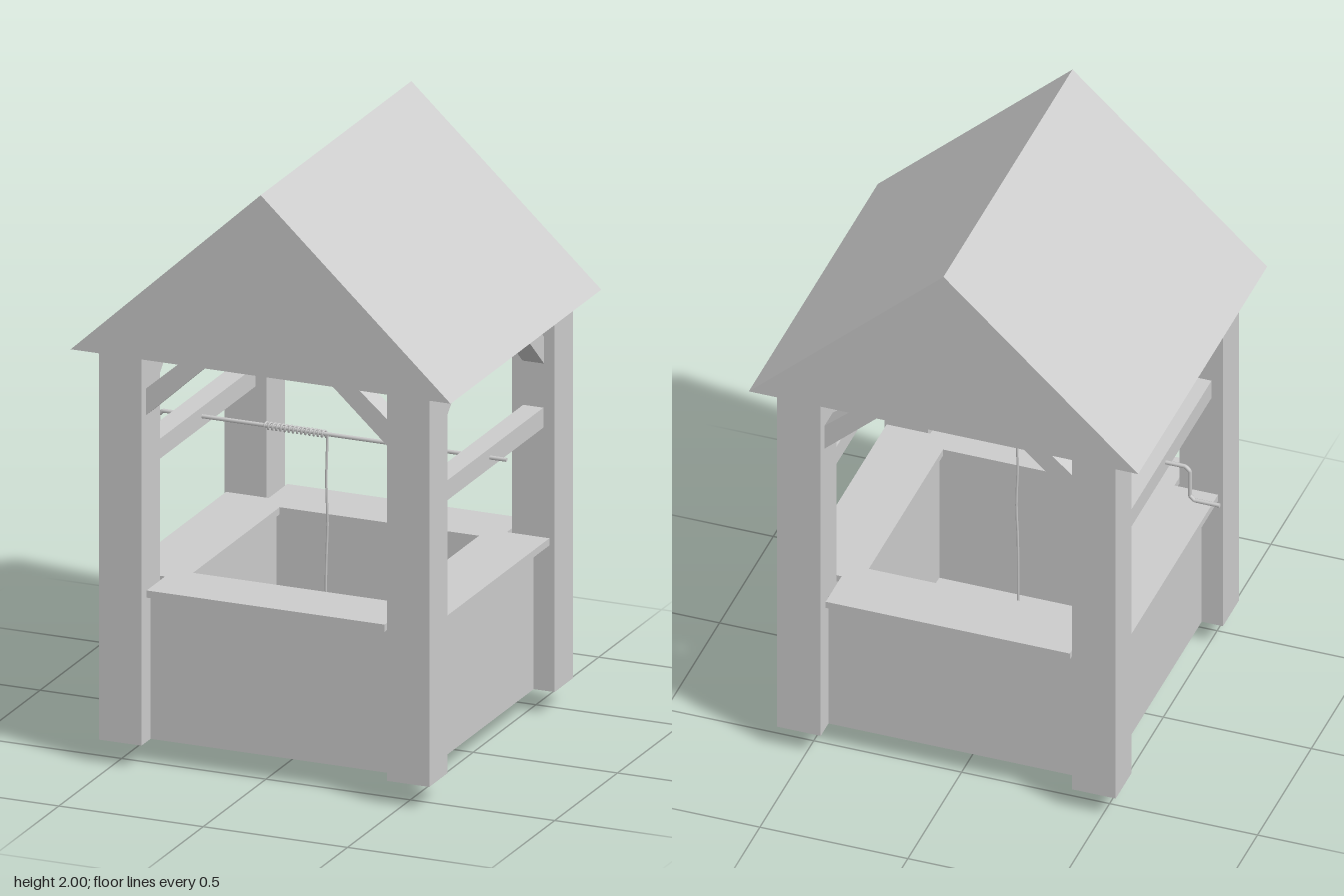
import * as THREE from 'three';

export function createModel() {
  const grey = new THREE.MeshStandardMaterial({ color: 0xcccccc });
  grey.name = 'plain grey';
  grey.side = THREE.DoubleSide;
  const model = new THREE.Group();
  model.name = 'well';

  const add = (parent, name, geometry, x = 0, y = 0, z = 0) => {
    const mesh = new THREE.Mesh(geometry, grey);
    mesh.name = name;
    mesh.position.set(x, y, z);
    parent.add(mesh);
    return mesh;
  };
  const shapeOf = (pts) => new THREE.Shape(pts.map(([x, y]) => new THREE.Vector2(x, y)));
  const extrude = (shape, depth) =>
    new THREE.ExtrudeGeometry(shape, { depth, bevelEnabled: false }).translate(0, 0, -depth / 2);

  // Square frame, centred slightly to the left of the crank and axle
  const frame = new THREE.Group();
  frame.name = 'frame';
  frame.position.x = 0.025;
  model.add(frame);

  const inner = 0.425, outer = 0.572, mid = (inner + outer) / 2, base = 0.08, eave = 1.39;
  const brace = [[-inner, 1.18], [-inner, 1.27], [-0.275, eave + 0.01], [-0.185, eave + 0.01]];

  // Each side: one post, hollow wall sheets, rim plank and two braces
  for (let i = 0; i < 4; i++) {
    const side = new THREE.Group();
    side.name = 'side' + (i + 1);
    side.rotation.y = i * Math.PI / 2;
    frame.add(side);
    add(side, 'post', new THREE.BoxGeometry(outer - inner, 1.33, outer - inner), mid, base + 0.665, mid);
    add(side, 'outerWall', new THREE.PlaneGeometry(inner * 2, 0.5), 0, base + 0.25, 0.5);
    add(side, 'innerWall', new THREE.PlaneGeometry(0.73, 0.5).rotateY(Math.PI), 0, base + 0.25, 0.365);
    add(side, 'rimPlank', new THREE.BoxGeometry(0.825, 0.024, 0.215), 0, 0.588, 0.4525);
    for (const s of [1, -1]) {
      add(side, 'brace', extrude(shapeOf(brace.map(([x, y]) => [x * s, y])), 0.075), 0, 0, mid);
    }
  }
  add(frame, 'floor', new THREE.PlaneGeometry(0.73, 0.73).rotateX(Math.PI / 2), 0, base, 0);

  // Rails that carry the axle
  for (const s of [1, -1]) {
    add(frame, 'axleRail', new THREE.BoxGeometry(0.07, 0.067, inner * 2), s * mid, 0.998, 0);
  }

  // Roof: smooth outside, stepped boards underneath
  const half = 0.658, top = 2, boards = 13;
  const under = [];
  for (let k = 0; k < boards; k++) {
    const a = k / boards * 0.96, b = (k + 1) / boards * 0.96;
    under.push([0.625 * (1 - a), eave + 0.575 * a]);
    under.push([0.625 * (1 - b) - 0.012, eave + 0.575 * b - 0.013]);
  }
  const profile = [[-half, eave], [0, top], [half, eave], ...under,
    ...under.slice().reverse().map(([x, y]) => [-x, y])];
  add(frame, 'roofBoards', extrude(shapeOf(profile), 1.2));
  const gable = shapeOf([[-half + 0.002, eave], [half - 0.002, eave], [0, top - 0.002]]);
  for (const s of [1, -1]) add(frame, 'gable', extrude(gable, 0.02), 0, 0, s * 0.59);

  // Flat ring beam resting on the posts
  const ring = shapeOf([[-0.61, -0.575], [0.61, -0.575], [0.61, 0.575], [-0.61, 0.575]]);
  ring.holes.push(new THREE.Path([[-inner, -inner], [-inner, inner], [inner, inner], [inner, -inner]]
    .map(([x, y]) => new THREE.Vector2(x, y))));
  add(frame, 'ringBeam', extrude(ring, 0.03).rotateX(Math.PI / 2), 0, eave + 0.016, 0);

  // Axle bent into a crank with a handle
  const crank = new THREE.CurvePath();
  const pts = [[0.615, 1], [-0.575, 1], [-0.59, 0.985], [-0.59, 0.89], [-0.605, 0.875], [-0.69, 0.875]]
    .map(([x, y]) => new THREE.Vector3(x, y, 0));
  for (let i = 0; i < pts.length - 1; i++) crank.add(new THREE.LineCurve3(pts[i], pts[i + 1]));
  add(model, 'crankAxle', new THREE.TubeGeometry(crank, 240, 0.007, 8));
  for (const x of [0.615, -0.69]) {
    add(model, 'axleCap', new THREE.CylinderGeometry(0.007, 0.007, 0.002, 8).rotateZ(Math.PI / 2),
      x, x > 0 ? 1 : 0.875, 0);
  }

  // Rope coiled on the axle, with its end hanging through the floor
  const coil = [];
  for (let i = 0; i <= 15 * 12; i++) {
    const a = i / 12 * Math.PI * 2;
    coil.push(new THREE.Vector3(-0.22 + 0.215 * i / 180, 1 + 0.01 * Math.sin(a), 0.01 * Math.cos(a)));
  }
  add(model, 'ropeCoil', new THREE.TubeGeometry(new THREE.CatmullRomCurve3(coil), 360, 0.004, 6));
  const hang = [[0.0, 1], [-0.004, 0.85], [0, 0.7], [-0.005, 0.55], [-0.005, 0]]
    .map(([x, y]) => new THREE.Vector3(x, y, 0.01));
  add(model, 'hangingRope', new THREE.TubeGeometry(new THREE.CatmullRomCurve3(hang), 30, 0.004, 6));

  return model;
}
